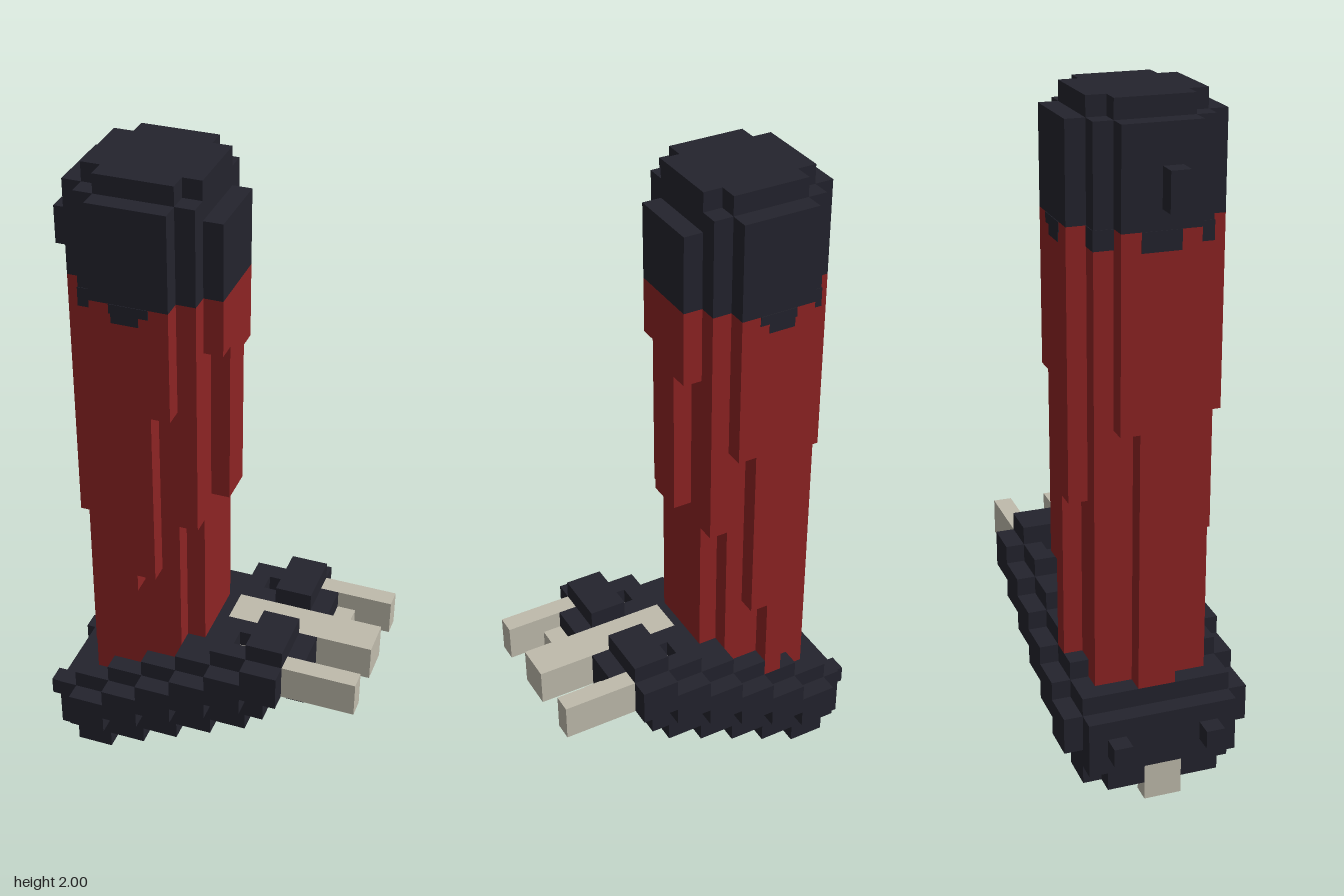
import * as THREE from 'three';

const U = 2 / 36; // one block

const mats = {
  charcoal: new THREE.MeshStandardMaterial({ color: 0x23232d }),
  crimson: new THREE.MeshStandardMaterial({ color: 0x8d2323 }),
  bone: new THREE.MeshStandardMaterial({ color: 0xbfbbac }),
};
for (const [name, m] of Object.entries(mats)) m.name = name;

export function createModel() {
  const model = new THREE.Group();
  model.name = 'clawedLeg';
  const part = (name) => {
    const g = new THREE.Group();
    g.name = name;
    model.add(g);
    return g;
  };
  // block given by its limits in block units
  const block = (parent, name, mat, x0, x1, y0, y1, z0, z1) => {
    const mesh = new THREE.Mesh(new THREE.BoxGeometry((x1 - x0) * U, (y1 - y0) * U, (z1 - z0) * U), mats[mat]);
    mesh.position.set((x0 + x1) / 2 * U, (y0 + y1) / 2 * U, (z0 + z1) / 2 * U);
    mesh.name = name;
    parent.add(mesh);
  };
  // same block on both sides of z = 0
  const pair = (parent, name, mat, x0, x1, y0, y1, z0, z1) => {
    block(parent, name, mat, x0, x1, y0, y1, z0, z1);
    block(parent, name, mat, x0, x1, y0, y1, -z1, -z0);
  };

  // Shaft: core, notched corners and ragged strips on each face
  const shaft = part('shaft');
  block(shaft, 'shaftCore', 'crimson', -6, 0, 5, 30, -2, 2);
  block(shaft, 'shaftCore', 'crimson', -5, -1, 5, 30, -3, 3);
  pair(shaft, 'frontCorner', 'crimson', -1, 0, 17, 30, 2, 3);
  pair(shaft, 'rearCorner', 'crimson', -6, -5, 6, 30, 2, 3);
  [20, 13, 14, 24].forEach((y, i) => block(shaft, 'leftStrip', 'crimson', -5 + i, -4 + i, y, 30, 3, 4));
  [16, 7, 12, 22].forEach((y, i) => block(shaft, 'rightStrip', 'crimson', -5 + i, -4 + i, y, 30, -4, -3));
  [26, 18, 18, 27].forEach((y, i) => block(shaft, 'toeSideStrip', 'crimson', 0, 1, y, 30, -2 + i, -1 + i));
  [20, 6, 6, 16].forEach((y, i) => block(shaft, 'heelSideStrip', 'crimson', -7, -6, y, 30, -2 + i, -1 + i));

  // Rounded cap with drips and a knob
  const cap = part('cap');
  block(cap, 'capTop', 'charcoal', -6, 0, 35, 36, -2, 2);
  pair(cap, 'capTopEdge', 'charcoal', -5, -1, 35, 36, 2, 3);
  block(cap, 'capCore', 'charcoal', -6, 0, 30, 35, -3, 3);
  pair(cap, 'capSide', 'charcoal', -5, -1, 30, 35, 3, 4);
  block(cap, 'capHeelSide', 'charcoal', -7, -6, 30, 35, -2, 2);
  block(cap, 'capToeSide', 'charcoal', 0, 1, 30, 34, -2, 2);
  block(cap, 'capKnob', 'charcoal', -8, -7, 31, 33, 0, 1);
  const e = 0.03;
  pair(cap, 'sideDrip', 'charcoal', -4, -2, 29.5, 30, 3, 4 + e);
  pair(cap, 'sideDrip', 'charcoal', -3.9, -2.5, 29, 29.5, 3, 4 + e);
  pair(cap, 'cornerDrip', 'charcoal', -6 - e, -5, 29, 30, 2, 3 + e);
  block(cap, 'heelDrip', 'charcoal', -7 - e, -6, 29, 30, -1, 1);

  // Sloping foot in stepped slices: x0, x1, bottom, top
  const foot = part('foot');
  block(foot, 'heel', 'charcoal', -8, -7, 2, 5, -4, 4);
  pair(foot, 'heelBase', 'charcoal', -8, -7, 1, 2, 1, 3);
  pair(foot, 'heelKnob', 'charcoal', -9, -8, 3, 4, 2, 3);
  for (const [x0, x1, b, t] of [[-7, -5, 1, 6], [-5, -3, 2, 7], [-3, -1, 3, 8], [-1, 1, 4, 9]]) {
    block(foot, 'footSlice', 'charcoal', x0, x1, b, t, -4, 4);
    pair(foot, 'footEdge', 'charcoal', x0, x1, b + 2, t - 1, 4, 5);
  }
  // Front of the foot, split around the middle claw
  block(foot, 'middleSole', 'charcoal', 1, 3, 5, 8, -1, 1);
  block(foot, 'middleSole', 'charcoal', 3, 4, 6, 8, -1, 1);
  pair(foot, 'toeBase', 'charcoal', 1, 3, 5, 9, 1, 4);
  pair(foot, 'toeTop', 'charcoal', 1, 2, 9, 10, 1, 4);
  pair(foot, 'hollowRim', 'charcoal', 2, 3, 9, 10, 1, 2);
  pair(foot, 'hollowRim', 'charcoal', 2, 3, 9, 10, 3, 4);
  pair(foot, 'knuckle', 'charcoal', 3, 5, 8, 11, 1, 4);
  pair(foot, 'knuckleBase', 'charcoal', 3, 4, 6, 8, 1, 4);
  pair(foot, 'footEdge', 'charcoal', 1, 3, 7, 9, 4, 5);
  pair(foot, 'footEdge', 'charcoal', 3, 5, 8, 10, 4, 5);
  pair(foot, 'toeTip', 'charcoal', 5, 6, 7, 10, 1, 3);

  // Red steps under the sole
  const sole = part('soleSteps');
  block(sole, 'soleStep', 'crimson', -3, -2, 2, 3.5, -1, 1);
  block(sole, 'soleStep', 'crimson', -2, -1 + e, 3 - e, 4, -1, 1);
  block(sole, 'soleStep', 'crimson', -1, 1 + e, 4 - e, 5, -1, 1);

  // Claws
  const claws = part('claws');
  block(claws, 'middleClaw', 'bone', 1, 9, 8, 10, -1, 1);
  block(claws, 'middleClawRoot', 'bone', 4, 5, 7, 8, -1, 1);
  pair(claws, 'outerClaw', 'bone', 5, 9, 8, 10, 3, 4);
  pair(claws, 'smallClaw', 'bone', 6, 7, 8, 9, 2, 3);
  pair(claws, 'clawInset', 'bone', 2, 3, 9, 9.1, 2, 3);
  block(claws, 'heelClaw', 'bone', -8, -7, 0, 2, -1, 1);

  return model;
}
